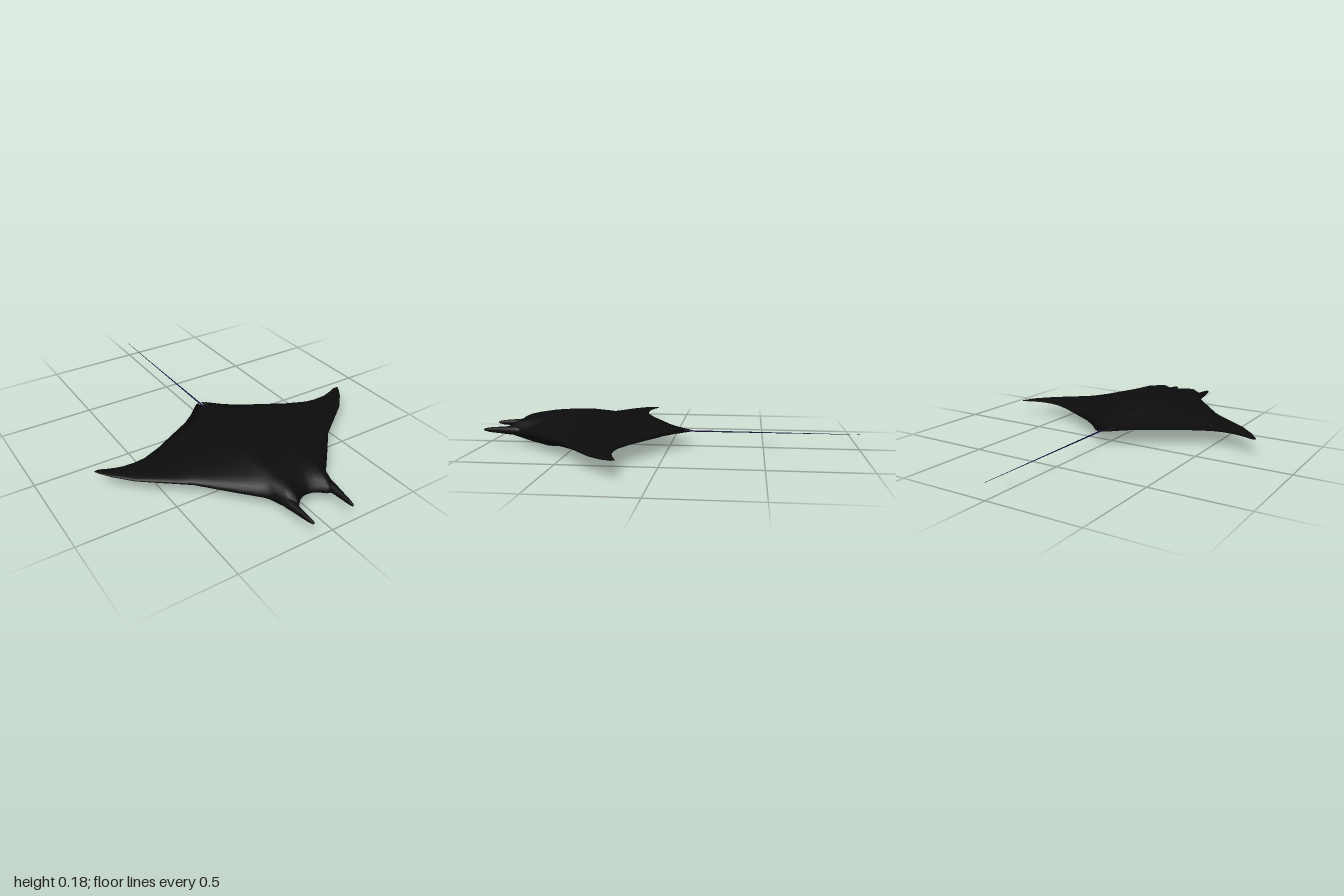
import * as THREE from 'three';

const skin = new THREE.MeshStandardMaterial({ color: 0x0c0c0c });
const tailSkin = new THREE.MeshStandardMaterial({ color: 0x0c0c3c });

// Skin a smooth surface over a row of closed rings
function loft(rings, material, name) {
  const n = rings[0].length;
  const index = [];
  for (let i = 0; i < rings.length - 1; i++) {
    for (let j = 0; j < n; j++) {
      const k = (j + 1) % n;
      const a = i * n + j, b = a + n, c = (i + 1) * n + k, d = i * n + k;
      index.push(a, b, c, a, c, d);
    }
  }
  const geometry = new THREE.BufferGeometry();
  geometry.setAttribute('position', new THREE.Float32BufferAttribute(rings.flat(2), 3));
  geometry.setIndex(index);
  geometry.computeVertexNormals();
  const mesh = new THREE.Mesh(geometry, material);
  mesh.name = name;
  return mesh;
}

// Linear lookup in a list of [key, value] pairs
function sample(table, x) {
  let i = 1;
  while (i < table.length - 1 && table[i][0] < x) i++;
  const [x0, y0] = table[i - 1], [x1, y1] = table[i];
  return THREE.MathUtils.lerp(y0, y1, THREE.MathUtils.clamp((x - x0) / (x1 - x0), 0, 1));
}

// Plan outline, given from the middle to the wing tip
const frontEdge = [[0, 0.82], [0.03, 0.825], [0.06, 0.84], [0.085, 0.865], [0.1, 0.87], [0.13, 0.84],
  [0.148, 0.78], [0.17, 0.745], [0.25, 0.66], [0.4, 0.495], [0.5, 0.42], [0.62, 0.33], [0.7, 0.245], [0.74, 0.19], [0.752, 0.168]];
const backEdge = [[0, -0.05], [0.012, -0.12], [0.03, -0.11], [0.1, -0.04], [0.17, 0.015], [0.25, 0.06],
  [0.4, 0.145], [0.52, 0.197], [0.61, 0.197], [0.68, 0.18], [0.73, 0.156], [0.752, 0.16]];
// Highest and lowest points across the span
const topLine = [[0, 0.182], [0.06, 0.181], [0.13, 0.175], [0.2, 0.158], [0.32, 0.13], [0.44, 0.11], [0.6, 0.102], [0.7, 0.098], [0.752, 0.091]];
const bottomLine = [[0, 0.002], [0.06, 0.003], [0.12, 0.007], [0.18, 0.02], [0.3, 0.035], [0.45, 0.055], [0.6, 0.071], [0.7, 0.081], [0.752, 0.089]];
// Thickness along the chord, from nose to rear
const topChord = [[0, 0], [0.012, 0.25], [0.04, 0.45], [0.08, 0.63], [0.14, 0.76], [0.23, 0.9], [0.33, 0.97],
  [0.43, 1], [0.54, 0.91], [0.66, 0.73], [0.75, 0.45], [0.82, 0.22], [0.91, 0.08], [1, 0]];
const bottomChord = [[0.9, 0.16], [0.82, 0.36], [0.74, 0.56], [0.65, 0.72], [0.55, 0.85], [0.45, 0.95],
  [0.34, 1], [0.24, 0.97], [0.15, 0.72], [0.08, 0.48], [0.03, 0.3], [0.01, 0.16]];

function bodyRing(x) {
  const s = Math.abs(x);
  const front = sample(frontEdge, s), back = sample(backEdge, s);
  const mid = 0.084 + 0.006 * s / 0.752;
  const rise = sample(topLine, s) - mid, drop = mid - sample(bottomLine, s);
  const point = (t, h) => [x, mid + h, THREE.MathUtils.lerp(front, back, t)];
  return [...topChord.map(([t, f]) => point(t, f * rise)), ...bottomChord.map(([t, f]) => point(t, -f * drop))];
}

// Curled fin beside the mouth: [z, x, half width, half height]
function hornRings(side) {
  const stations = [[0.74, 0.11, 0.02, 0.03], [0.79, 0.115, 0.031, 0.028], [0.84, 0.117, 0.026, 0.024],
    [0.88, 0.117, 0.019, 0.02], [0.93, 0.115, 0.013, 0.016], [0.97, 0.113, 0.009, 0.012], [0.995, 0.111, 0.006, 0.006], [1, 0.111, 0, 0]];
  return stations.map(([z, x, w, h]) => Array.from({ length: 12 }, (_, i) => {
    const a = i / 12 * Math.PI * 2;
    return [side * x - Math.cos(a) * w, 0.088 + Math.sin(a) * h, z];
  }));
}

export function createModel() {
  const model = new THREE.Group();
  model.name = 'ray';

  // Body and wings in one skin
  const half = [0.012, 0.03, 0.06, 0.085, 0.1, 0.115, 0.13, 0.148, 0.17, 0.2, 0.25, 0.32, 0.4, 0.45, 0.5, 0.56, 0.62, 0.66, 0.7, 0.725, 0.74, 0.752];
  const span = [...half.map((x) => -x).reverse(), 0, ...half];
  model.add(loft(span.map(bodyRing), skin, 'body'));

  // Head fins
  model.add(loft(hornRings(1), skin, 'leftHeadFin'), loft(hornRings(-1), skin, 'rightHeadFin'));

  // Whip tail, tapering backward
  const tail = new THREE.Mesh(new THREE.CylinderGeometry(0.0045, 0.0008, 1, 8), tailSkin);
  tail.name = 'tail';
  tail.rotation.x = Math.PI / 2;
  tail.position.set(0, 0.083, -0.5);
  model.add(tail);

  return model;
}
